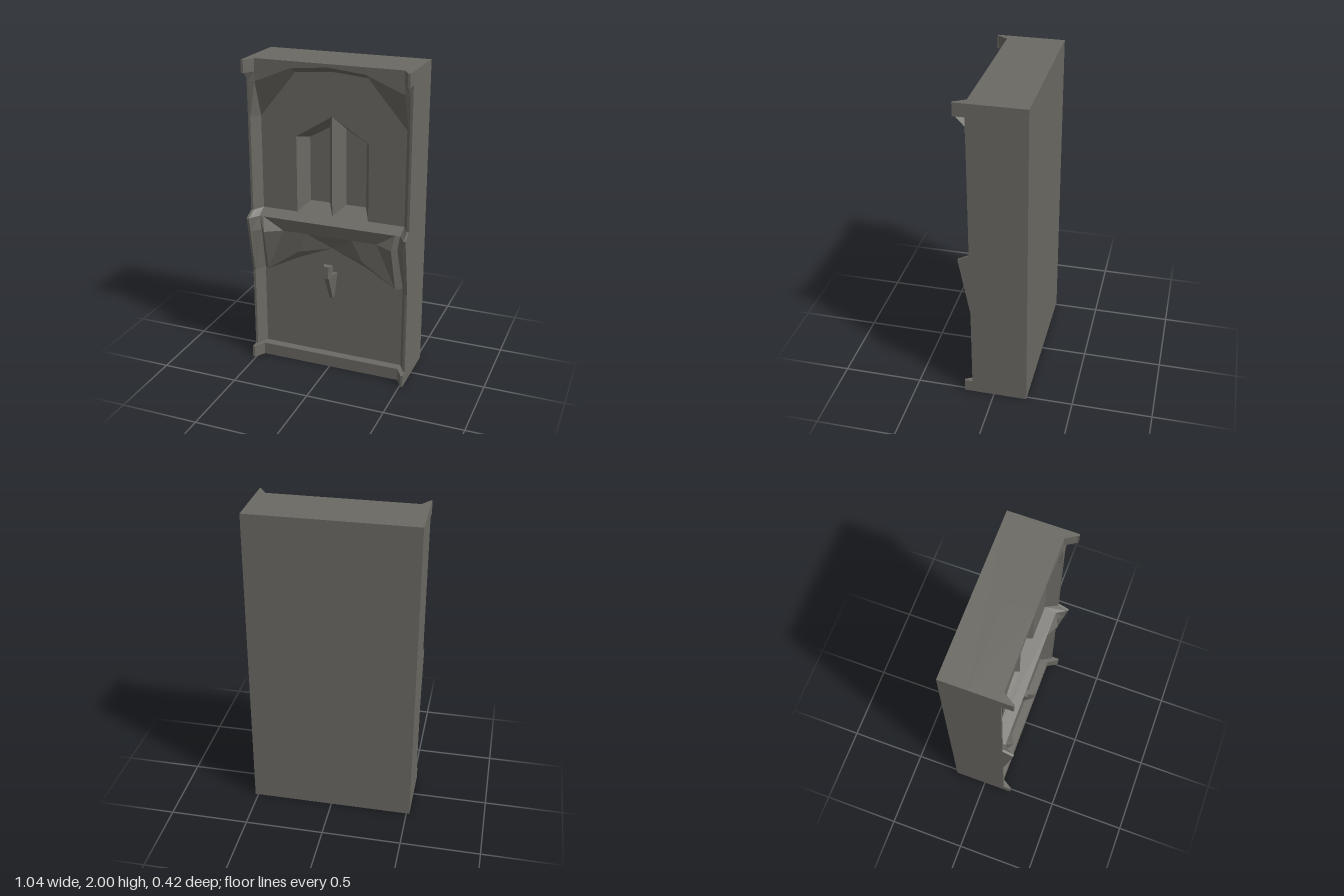
import * as THREE from 'three';

const stone = new THREE.MeshStandardMaterial({ color: 0x6b6963, flatShading: true, side: THREE.DoubleSide });
stone.name = 'greyStone';

// Flat polygons (convex fans of [x, y, z] corners), optionally mirrored across x = 0
function facets(name, polygons, mirrored = true) {
  const pos = [];
  const add = (p, s) => {
    for (let i = 1; i < p.length - 1; i++) {
      const tri = s > 0 ? [p[0], p[i], p[i + 1]] : [p[0], p[i + 1], p[i]];
      for (const [x, y, z] of tri) pos.push(s * x, y, z);
    }
  };
  for (const p of polygons) {
    add(p, 1);
    if (mirrored) add(p, -1);
  }
  const g = new THREE.BufferGeometry();
  g.setAttribute('position', new THREE.Float32BufferAttribute(pos, 3));
  g.computeVertexNormals();
  return part(name, g);
}

function part(name, geometry) {
  const m = new THREE.Mesh(geometry, stone);
  m.name = name;
  return m;
}

// Quads joining two matching closed loops
const joinLoops = (a, b) => a.map((p, i) => {
  const j = (i + 1) % a.length;
  return [p, a[j], b[j], b[i]];
});

function box(name, w, y0, y1, z0, z1) {
  const g = new THREE.BoxGeometry(w, y1 - y0, z1 - z0);
  g.translate(0, (y0 + y1) / 2, (z0 + z1) / 2);
  return part(name, g);
}

const shapeOf = (pts) => new THREE.Shape(pts.map(([x, y]) => new THREE.Vector2(x, y)));

export function createModel() {
  const model = new THREE.Group();
  model.name = 'wallSection';
  const PANEL = 0.065, BACK = -0.035;

  // Solid wall behind the window, and the plinth
  model.add(box('backWall', 1.04, 0, 2, -0.21, BACK));
  model.add(box('plinth', 1.01, 0, 0.08, BACK, 0.12));

  // Panel with the pointed window opening
  const panel = shapeOf([[-0.48, 0.05], [0.48, 0.05], [0.48, 1.97], [-0.48, 1.97]]);
  panel.holes.push(new THREE.Path([[-0.235, 1.035], [-0.235, 1.525], [0, 1.67], [0.235, 1.525], [0.235, 1.035]]
    .map(([x, y]) => new THREE.Vector2(x, y))));
  const panelGeometry = new THREE.ShapeGeometry(panel);
  panelGeometry.translate(0, 0, PANEL);
  model.add(part('panel', panelGeometry));

  // Splayed reveals of both lights, which meet in the central mullion
  const outer = [[0, 1.035, PANEL], [0.235, 1.035, PANEL], [0.235, 1.525, PANEL], [0, 1.67, PANEL]];
  const inner = [[0.055, 1.085, BACK], [0.185, 1.085, BACK], [0.185, 1.5, BACK], [0.055, 1.575, BACK]];
  model.add(facets('windowReveals', joinLoops(outer, inner)));

  // Side strips, cut to the outer profile in z and y
  const profile = shapeOf([[-0.21, 0], [0.19, 0], [0.19, 0.08], [0.14, 0.08], [0.14, 0.62], [0.21, 1],
    [0.14, 1.035], [0.14, 1.92], [0.21, 1.92], [0.21, 2], [-0.21, 2]]);
  for (const [name, x] of [['leftPilaster', 0.52], ['rightPilaster', -0.505]]) {
    const g = new THREE.ExtrudeGeometry(profile, { depth: 0.015, bevelEnabled: false });
    g.rotateY(-Math.PI / 2);
    g.translate(x, 0, 0);
    model.add(part(name, g));
  }

  // Sloping inner faces of the pilasters: y, crest x, crest z, valley x, valley z
  const rows = [
    [0, 0.505, 0.185, 0.465, 0.12], [0.08, 0.505, 0.185, 0.465, 0.12],
    [0.08, 0.505, 0.137, 0.467, PANEL], [0.62, 0.505, 0.137, 0.467, PANEL],
    [0.91, 0.5, 0.188, 0.45, 0.14], [1, 0.505, 0.203, 0.465, 0.14],
    [1.035, 0.505, 0.137, 0.467, PANEL], [1.635, 0.505, 0.137, 0.467, PANEL],
    [1.86, 0.505, 0.147, 0.468, 0.14], [1.92, 0.505, 0.203, 0.468, 0.14],
    [2, 0.505, 0.203, 0.465, 0.14]];
  const crest = ([y, x, z]) => [x, y, z];
  const valley = ([y, , , x, z]) => [x, y, z];
  const slopes = rows.slice(1).map((r, i) => [crest(rows[i]), crest(r), valley(r), valley(rows[i])]);
  for (const r of [rows[0], rows[rows.length - 1]]) {
    slopes.push([crest(r), valley(r), [0.505, r[0], r[4]]]);
  }
  model.add(facets('pilasterSlopes', slopes));

  // Arched head: front face, splayed soffit and top
  const archFront = [[0, 1.98, 0.14], [0.235, 1.957, 0.14], [0.468, 1.86, 0.14]];
  const archBack = [[0, 1.94, PANEL], [0.235, 1.92, PANEL], [0.467, 1.635, PANEL]];
  const head = [[[0, 2, 0.14], [0, 2, BACK], [0.505, 2, BACK], [0.505, 2, 0.14]]];
  for (let i = 0; i < 2; i++) {
    const a = archFront[i], b = archFront[i + 1];
    head.push([a, b, [b[0], 2, 0.14], [a[0], 2, 0.14]]);
    head.push([a, archBack[i], archBack[i + 1], b]);
  }
  model.add(facets('archedHead', head));

  // Sloping shelf and its front lip
  model.add(facets('shelf', [
    [[-0.467, 1.035, PANEL], [-0.465, 1, 0.14], [0.465, 1, 0.14], [0.467, 1.035, PANEL]],
    [[-0.435, 1, 0.14], [-0.31, 0.915, 0.12], [0.31, 0.915, 0.12], [0.435, 1, 0.14]],
    [[0, 0.82, PANEL], [0.215, 0.78, 0.11], [0.15, 0.915, 0.12], [-0.15, 0.915, 0.12], [-0.215, 0.78, 0.11]],
  ], false));

  // Corbels that carry the shelf on both sides
  const top = [0.435, 1, 0.14], peak = [0.42, 0.91, 0.175], foot = [0.43, 0.625, 0.1];
  const hip = [0.31, 0.915, 0.12], inside = [0.15, 0.915, 0.12], lower = [0.215, 0.78, 0.11];
  const wallMid = [0.235, 0.72, PANEL], wallFoot = [0.43, 0.62, PANEL];
  model.add(facets('corbels', [
    [top, hip, peak], [peak, hip, foot], [hip, inside, lower, foot],
    [foot, lower, wallMid], [lower, [0, 0.82, PANEL], wallMid], [foot, wallMid, wallFoot],
    [[0.465, 1, 0.14], top, peak, [0.45, 0.91, 0.14]],
    [[0.45, 0.91, 0.14], peak, foot, [0.467, 0.62, PANEL]],
    [foot, wallFoot, [0.467, 0.62, PANEL]],
  ]));

  // Small wall bracket with a faceted cup
  const section = (y, w0, z0, w1, z1) => [[-w0, y, z0], [-w1, y, z1], [w1, y, z1], [w0, y, z0]];
  const prism = (a, b) => [...joinLoops(a, b), a, b];
  model.add(facets('bracket',
    prism(section(0.66, 0.035, PANEL, 0.014, 0.168), section(0.485, 0.014, PANEL, 0.01, 0.085)), false));
  model.add(facets('bracketCup',
    prism(section(0.735, 0.03, 0.13, 0.015, 0.17), section(0.655, 0.026, 0.13, 0.013, 0.17)), false));

  return model;
}
